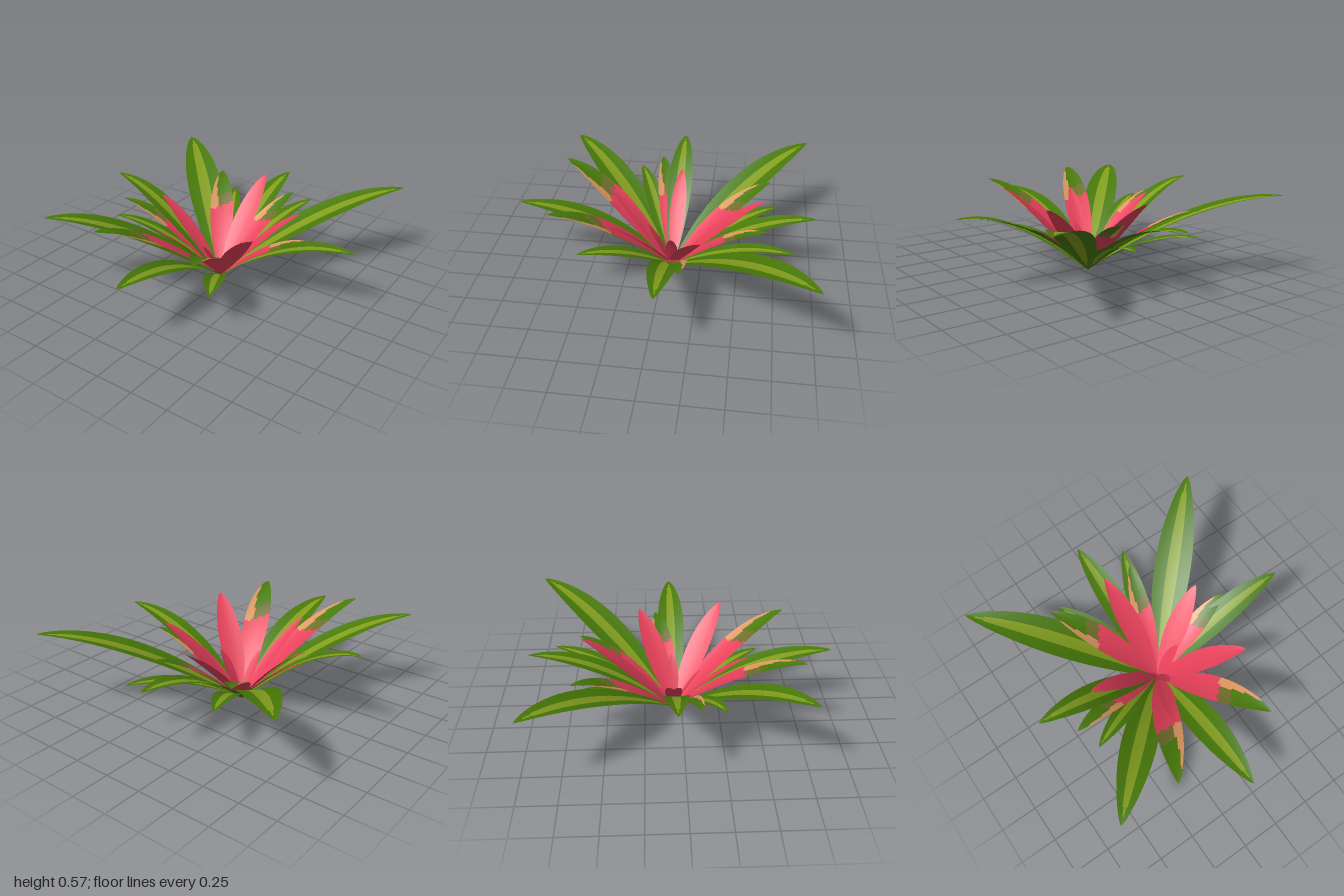
import * as THREE from 'three';

const mat = (name, color) => {
  const m = new THREE.MeshStandardMaterial({ color, side: THREE.DoubleSide });
  m.name = name;
  return m;
};

const GREEN = 0, STRIPE = 1, RED = 2, PEACH = 3, OLIVE = 4;
const CENTRE = [-0.045, -0.055];
const ROWS = 40;
const COLS = [-1, -0.66, -0.32, -0.16, 0, 0.16, 0.32, 0.48, 0.66, 0.83, 1];

// Colour rules: s runs from base to tip, u from the right edge to the left edge
const greenRule = (s, u) => {
  const inset = Math.abs(u) < 0.16 ? 0.05 : 0.1;
  return Math.abs(u) < 0.32 && s > inset && s < 1 - inset ? STRIPE : GREEN;
};
const redRule = () => RED;
const mixedRule = (s, u) => {
  const edge = 0.56 - 0.05 * u;
  if (s < edge) return RED;
  if (u > 0.3 + (s - 0.58) * 1.5 && s < 0.9) return PEACH;
  if (s < edge + 0.11) return OLIVE;
  return GREEN;
};

// Arching lens-shaped blade from the plant's centre to a tip
function leafGeometry([tx, ty, tz], width, arch, rule) {
  const dx = tx - CENTRE[0], dz = tz - CENTRE[1];
  const len = Math.hypot(dx, dz);
  const lx = dz / len, lz = -dx / len;
  const n = COLS.length;
  const pos = [];
  for (let i = 0; i <= ROWS; i++) {
    const s = i / ROWS;
    const half = (width / 2) * Math.pow(Math.max(0, Math.sin(Math.PI * s)), 0.75);
    const y = ty * (1 - Math.pow(1 - s, arch));
    for (const u of COLS) {
      const cup = half * 0.12 * u * u;
      pos.push(CENTRE[0] + dx * s + lx * half * u, y + cup, CENTRE[1] + dz * s + lz * half * u);
    }
  }
  // Faces are sorted by colour into geometry groups
  const faces = [[], [], [], [], []];
  for (let i = 0; i < ROWS; i++) {
    for (let j = 0; j < n - 1; j++) {
      const a = i * n + j, b = a + 1, c = a + n, d = c + 1;
      const key = rule((i + 0.5) / ROWS, (COLS[j] + COLS[j + 1]) / 2);
      if (i === 0) faces[key].push(a, c, d);
      else faces[key].push(a, c, b);
      if (i > 0 && i < ROWS - 1) faces[key].push(b, c, d);
    }
  }
  const geo = new THREE.BufferGeometry();
  geo.setAttribute('position', new THREE.Float32BufferAttribute(pos, 3));
  geo.setIndex(faces.flat());
  let start = 0;
  faces.forEach((f, k) => {
    if (f.length) geo.addGroup(start, f.length, k);
    start += f.length;
  });
  geo.computeVertexNormals();
  return geo;
}

// Each leaf: tip, width, arch
const outerLeaves = [
  [[0.865, 0.55, -0.985], 0.25, 1.7],
  [[-0.94, 0.55, -0.95], 0.25, 1.75],
  [[-0.86, 0.55, 0.755], 0.23, 1.7],
  [[-0.045, 0.43, 0.995], 0.21, 2.0],
  [[0.935, 0.475, -0.06], 0.185, 1.9],
  [[-0.93, 0.56, -0.05], 0.17, 1.7],
  [[-0.055, 0.44, -1.0], 0.18, 1.9],
  [[0.22, 0.34, -0.86], 0.15, 1.85],
  [[-0.38, 0.32, -0.755], 0.15, 1.85],
  [[-0.70, 0.41, 0.25], 0.13, 1.7],
  [[0.28, 0.255, 0.54], 0.14, 1.9],
];
const middleLeaves = [
  [[-0.46, 0.465, -0.69], 0.165, 1.5],
  [[0.165, 0.45, -0.68], 0.14, 1.45],
  [[0.59, 0.395, -0.165], 0.14, 1.6],
  [[-0.755, 0.465, 0.10], 0.13, 1.65],
  [[-0.44, 0.57, 0.75], 0.175, 1.5],
  [[0.29, 0.555, 0.71], 0.175, 1.55],
];
const innerLeaves = [
  [[-0.05, 0.55, -0.65], 0.15, 1.2],
  [[0.43, 0.51, -0.28], 0.15, 1.2],
  [[-0.55, 0.48, -0.065], 0.11, 1.3],
  [[0.41, 0.56, 0.29], 0.16, 1.2],
  [[-0.22, 0.485, 0.41], 0.10, 1.2],
  [[0.13, 0.32, -0.06], 0.08, 1.15],
  [[-0.065, 0.3, 0.12], 0.07, 1.15],
];

export function createModel() {
  const materials = [
    mat('leaf green', 0x487a08),
    mat('stripe yellow green', 0x839e1e),
    mat('heart red', 0xec425c),
    mat('blush peach', 0xdc965f),
    mat('blend olive', 0x6f6e2a),
  ];
  const plant = new THREE.Group();
  plant.name = 'rosettePlant';
  const rings = [
    ['outerGreenLeaf', outerLeaves, greenRule],
    ['middleBlushLeaf', middleLeaves, mixedRule],
    ['innerRedLeaf', innerLeaves, redRule],
  ];
  for (const [name, leaves, rule] of rings) {
    const ring = new THREE.Group();
    ring.name = name + 'Ring';
    leaves.forEach(([tip, width, arch], i) => {
      const leaf = new THREE.Mesh(leafGeometry(tip, width, arch, rule), materials);
      leaf.name = name + (i + 1);
      ring.add(leaf);
    });
    plant.add(ring);
  }
  return plant;
}
